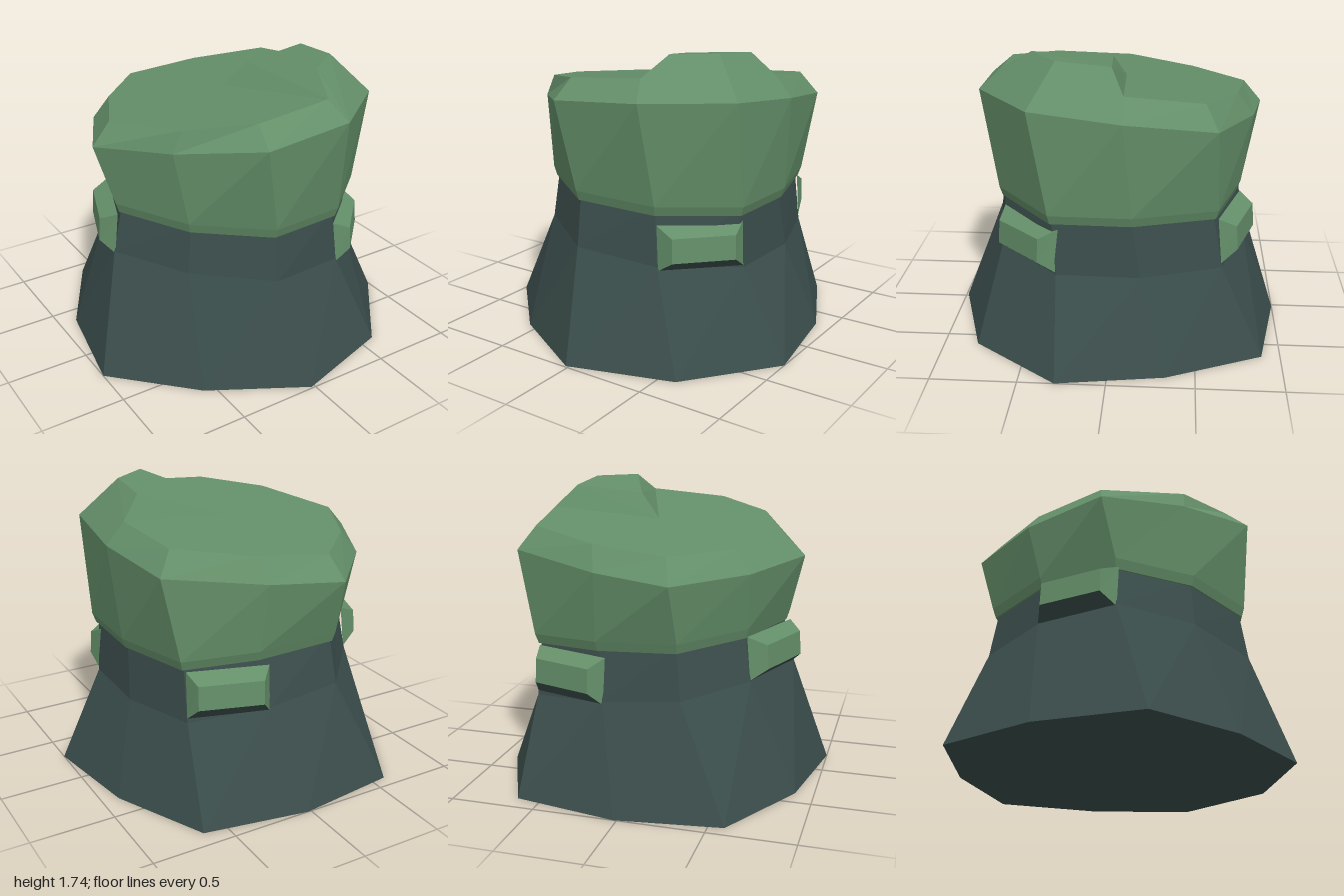
import * as THREE from 'three';
import { ConvexGeometry } from 'three/addons/geometries/ConvexGeometry.js';

// Turns convex polygons (corner lists, counterclockwise from outside) into a faceted geometry
function facets(polygons) {
  const pos = [];
  for (const p of polygons) {
    for (let i = 1; i < p.length - 1; i++) pos.push(...p[0], ...p[i], ...p[i + 1]);
  }
  const g = new THREE.BufferGeometry();
  g.setAttribute('position', new THREE.Float32BufferAttribute(pos, 3));
  g.computeVertexNormals();
  return g;
}

// Closed loft through rings, listed from bottom to top
function loft(rings) {
  const faces = [];
  for (let r = 0; r < rings.length - 1; r++) {
    const lo = rings[r], hi = rings[r + 1];
    lo.forEach((p, i) => {
      const j = (i + 1) % lo.length;
      faces.push([p, lo[j], hi[j], hi[i]]);
    });
  }
  faces.push([...rings[0]].reverse(), rings[rings.length - 1]);
  return facets(faces);
}

// Lays an [x, z] outline on the tilted plane y = h + kx * x + kz * z
const ring = (outline, h, kx = 0, kz = 0, s = 1) =>
  outline.map(([x, z]) => [x * s, h + kx * x * s + kz * z * s, z * s]);

export function createModel() {
  const group = new THREE.Group();
  const moss = new THREE.MeshStandardMaterial({ color: 0x648f69, flatShading: true });
  const stone = new THREE.MeshStandardMaterial({ color: 0x3b4e4c, flatShading: true });
  moss.name = 'moss green';
  stone.name = 'dark stone';
  const add = (name, geometry, material, parent = group) => {
    const mesh = new THREE.Mesh(geometry, material);
    mesh.name = name;
    parent.add(mesh);
  };

  // Outlines run from the front over +x to the back
  const foot = [[-0.02, 0.99], [0.6, 0.8], [1, 0.29], [0.9, -0.33], [0.64, -0.89],
    [0.02, -1], [-0.59, -0.92], [-0.89, -0.38], [-1, 0.24], [-0.57, 0.68]];
  const waist = [[-0.11, 0.75], [0.38, 0.66], [0.73, 0.3], [0.74, -0.18], [0.6, -0.64],
    [0.15, -0.78], [-0.3, -0.78], [-0.62, -0.42], [-0.79, 0.05], [-0.53, 0.46]];
  const neck = [[-0.12, 0.74], [0.37, 0.67], [0.74, 0.34], [0.75, -0.13], [0.62, -0.61],
    [0.2, -0.75], [-0.28, -0.78], [-0.6, -0.42], [-0.76, 0.04], [-0.52, 0.46]];
  const brim = [[-0.22, 0.79], [0.33, 0.77], [0.75, 0.44], [0.8, -0.08], [0.72, -0.59],
    [0.18, -0.81], [-0.26, -0.88], [-0.62, -0.5], [-0.85, -0.03], [-0.59, 0.42]];
  const crown = [[-0.2, 0.66], [0.27, 0.65], [0.62, 0.37], [0.69, -0.08], [0.63, -0.52],
    [0.22, -0.71], [-0.22, -0.77], [-0.53, -0.46], [-0.73, -0.05], [-0.53, 0.42]];

  // Flared stone base
  add('stoneBase', loft([
    ring(foot, 0),
    ring(waist, 0.615, -0.1),
    ring(neck, 0.93, -0.06, 0, 0.95),
  ]), stone);

  // Mossy cap with a tilted, bevelled top
  add('mossCap', loft([
    ring(neck, 0.893, -0.06, 0, 0.975),
    ring(neck, 0.95, -0.06),
    ring(brim, 1.41, 0.07, 0.1),
    ring(crown, 1.535, 0.08, 0.1),
  ]), moss);

  // Raised wedge on the cap
  add('raisedWedge', new ConvexGeometry([
    [0.03, 1.53, -0.06], [0.69, 1.582, -0.08], [0.8, 1.458, -0.08], [0.75, 1.507, 0.44],
    [0.33, 1.51, 0.77], [0.27, 1.622, 0.65],
    [0.16, 1.675, 0.01], [0.57, 1.71, -0.01], [0.55, 1.735, 0.3], [0.33, 1.735, 0.46],
  ].map((p) => new THREE.Vector3(...p))), moss);

  // Mossy ledge blocks standing out from one side of the waist, with a stone underside
  const ledge = (name, a, b, [wallLo, faceLo, faceHi, wallHi], inset, out) => {
    const dx = b[0] - a[0], dz = b[1] - a[1], len = Math.hypot(dx, dz);
    const ux = dx / len, uz = dz / len;
    const at = (p, along, away, y) => [p[0] + ux * along - uz * away, y, p[1] + uz * along + ux * away];
    const w = [at(a, 0, -0.005, wallLo), at(b, 0, -0.005, wallLo), at(b, 0, -0.03, wallHi), at(a, 0, -0.03, wallHi)];
    const f = [at(a, inset, out, faceLo), at(b, -inset, out, faceLo),
      at(b, -inset, out - 0.01, faceHi), at(a, inset, out - 0.01, faceHi)];
    const part = new THREE.Group();
    part.name = name;
    group.add(part);
    add(name + 'Moss', facets([
      f,
      [f[3], f[2], w[2], w[3]],
      [w[0], f[0], f[3], w[3]],
      [f[1], w[1], w[2], f[2]],
    ]), moss, part);
    add(name + 'Underside', facets([[w[0], w[1], f[1], f[0]]]), stone, part);
  };
  ledge('frontLedge', waist[1], waist[2], [0.55, 0.62, 0.76, 0.815], 0.07, 0.08);
  ledge('backLedge', waist[4], waist[5], [0.58, 0.66, 0.8, 0.85], 0.05, 0.075);
  ledge('sideLedge', waist[7], waist[8], [0.68, 0.75, 0.89, 0.935], 0.06, 0.08);

  return group;
}
